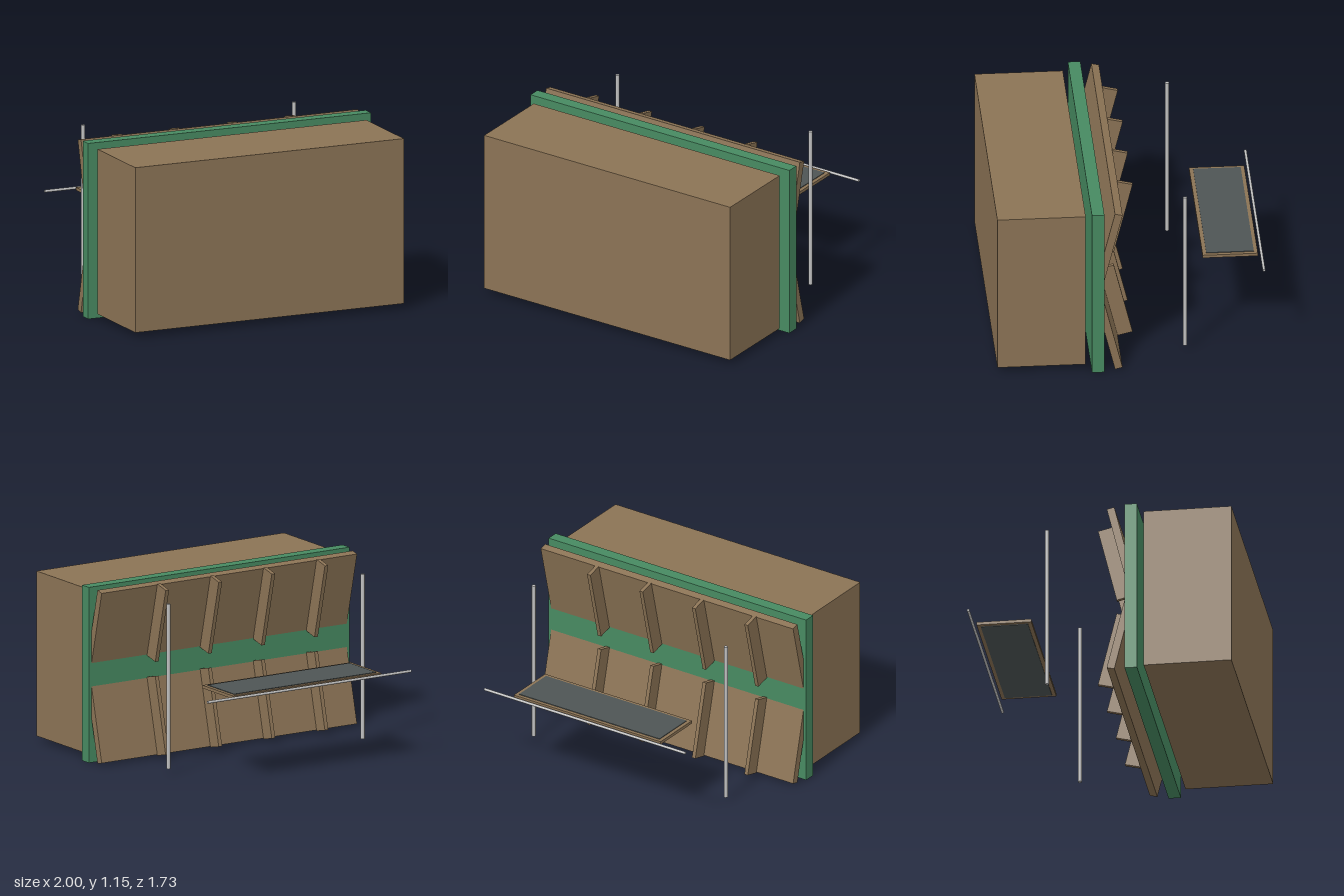
import * as THREE from 'three';

const material = (name, color) => {
  const m = new THREE.MeshStandardMaterial({ color });
  m.name = name;
  return m;
};

export function createModel() {
  const brown = material('brown', 0x8b7355);
  const green = material('green', 0x478a61);
  const slate = material('slate', 0x4e5555);
  const grey = material('light grey', 0xc0c0c0);
  const model = new THREE.Group();
  model.name = 'model';
  const midY = 0.578;

  const add = (name, geometry, mat, x, y, z, parent = model) => {
    const mesh = new THREE.Mesh(geometry, mat);
    mesh.name = name;
    mesh.position.set(x, y, z);
    parent.add(mesh);
    return mesh;
  };
  const box = (w, h, d) => new THREE.BoxGeometry(w, h, d);

  // Large block in front and the slab behind it
  add('mainBlock', box(1.9, 1.085, 0.567), brown, 0, midY, 0.584);
  add('backSlab', box(2, 1.155, 0.08), green, 0, midY, 0.224);

  // Two outward-leaning panels with ribs, mirrored above and below the middle
  for (const side of [1, -1]) {
    const wing = new THREE.Group();
    wing.name = side > 0 ? 'upperWing' : 'lowerWing';
    model.add(wing);
    const panel = add('panel', box(1.96, 0.51, 0.05), brown, 0, midY + side * 0.317, 0.151, wing);
    panel.rotation.x = -side * 0.24;
    for (let i = 0; i < 4; i++) {
      const rib = add('rib', box(0.026, 0.508, 0.1), brown,
        -0.682 + i * 0.4075, midY + side * 0.306, 0.078, wing);
      rib.rotation.x = -side * 0.24;
    }
  }

  // Flat framed tray, its inlay showing on both faces
  add('trayFrame', box(1.14, 0.02, 0.354), brown, 0, midY, -0.657);
  add('trayInlay', box(1.09, 0.028, 0.305), slate, 0, midY, -0.6575);

  // Rod behind the tray and two upright posts
  const rod = add('rearRod', new THREE.CylinderGeometry(0.009, 0.009, 1.56, 12), grey, 0, midY, -0.858);
  rod.rotation.z = Math.PI / 2;
  for (const side of [1, -1]) {
    add(side > 0 ? 'leftPost' : 'rightPost', new THREE.CylinderGeometry(0.013, 0.013, 1.085, 12),
      grey, side * 0.746, midY, -0.353);
  }
  return model;
}
